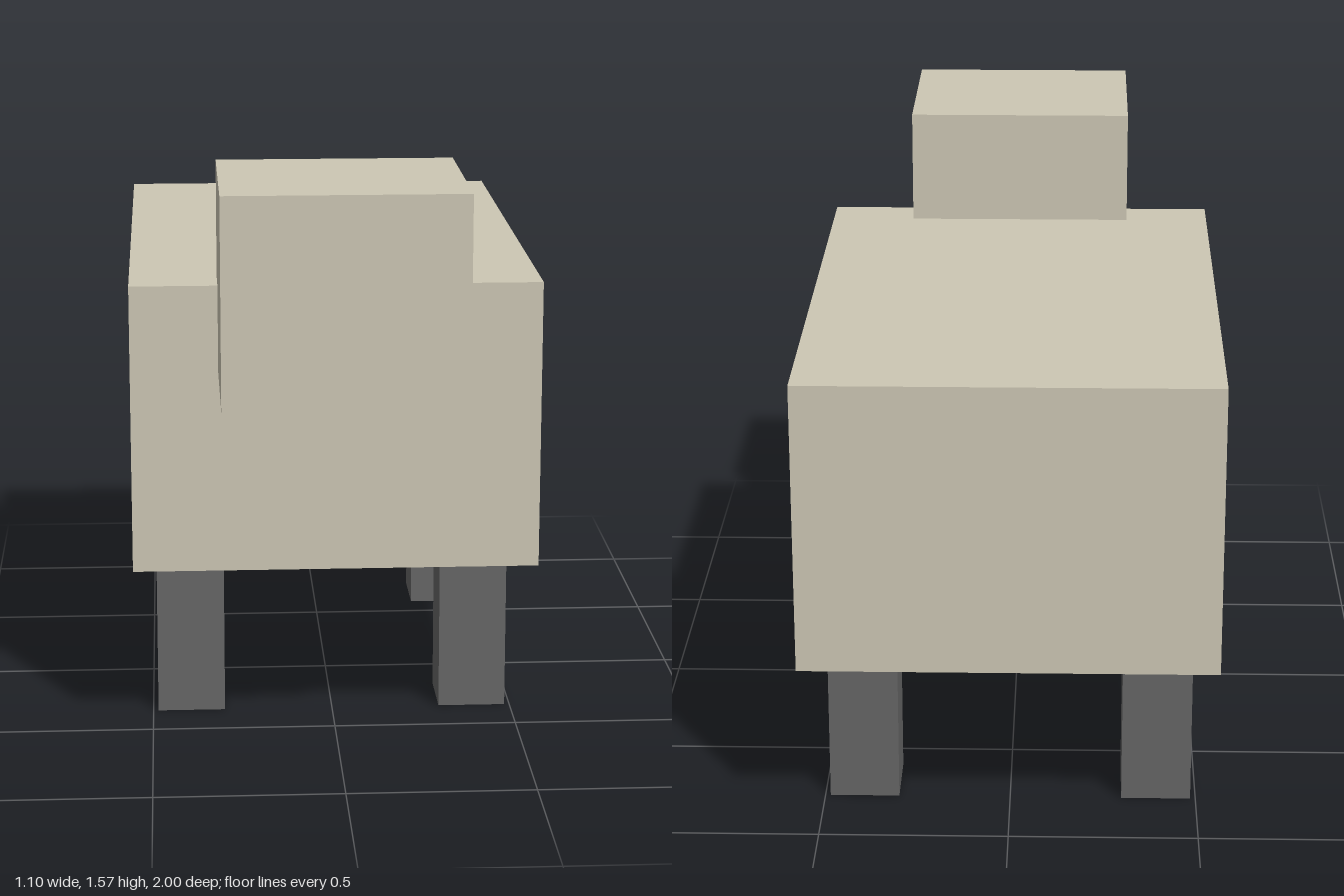
import * as THREE from 'three';

const wool = new THREE.MeshStandardMaterial({ color: 0xcdc7b4, flatShading: true });
const hoof = new THREE.MeshStandardMaterial({ color: 0x666666, flatShading: true });

// Box given by its size and centre
function box(name, material, [w, h, d], [x, y, z]) {
  const mesh = new THREE.Mesh(new THREE.BoxGeometry(w, h, d), material);
  mesh.name = name;
  mesh.position.set(x, y, z);
  return mesh;
}

export function createModel() {
  const model = new THREE.Group();
  model.name = 'sheep';

  // Body, and head overlapping its upper front edge
  model.add(box('body', wool, [1.096, 0.783, 1.567], [0, 0.8665, -0.2165]));
  model.add(box('head', wool, [0.628, 0.549, 0.549], [0, 1.2985, 0.7255]));

  // Four legs, mirrored across x
  for (const [end, z] of [['front', 0.258], ['back', -0.686]]) {
    for (const [side, s] of [['Left', 1], ['Right', -1]]) {
      model.add(box(`${end}${side}Leg`, hoof, [0.186, 0.475, 0.186], [s * 0.393, 0.2375, z]));
    }
  }
  return model;
}
